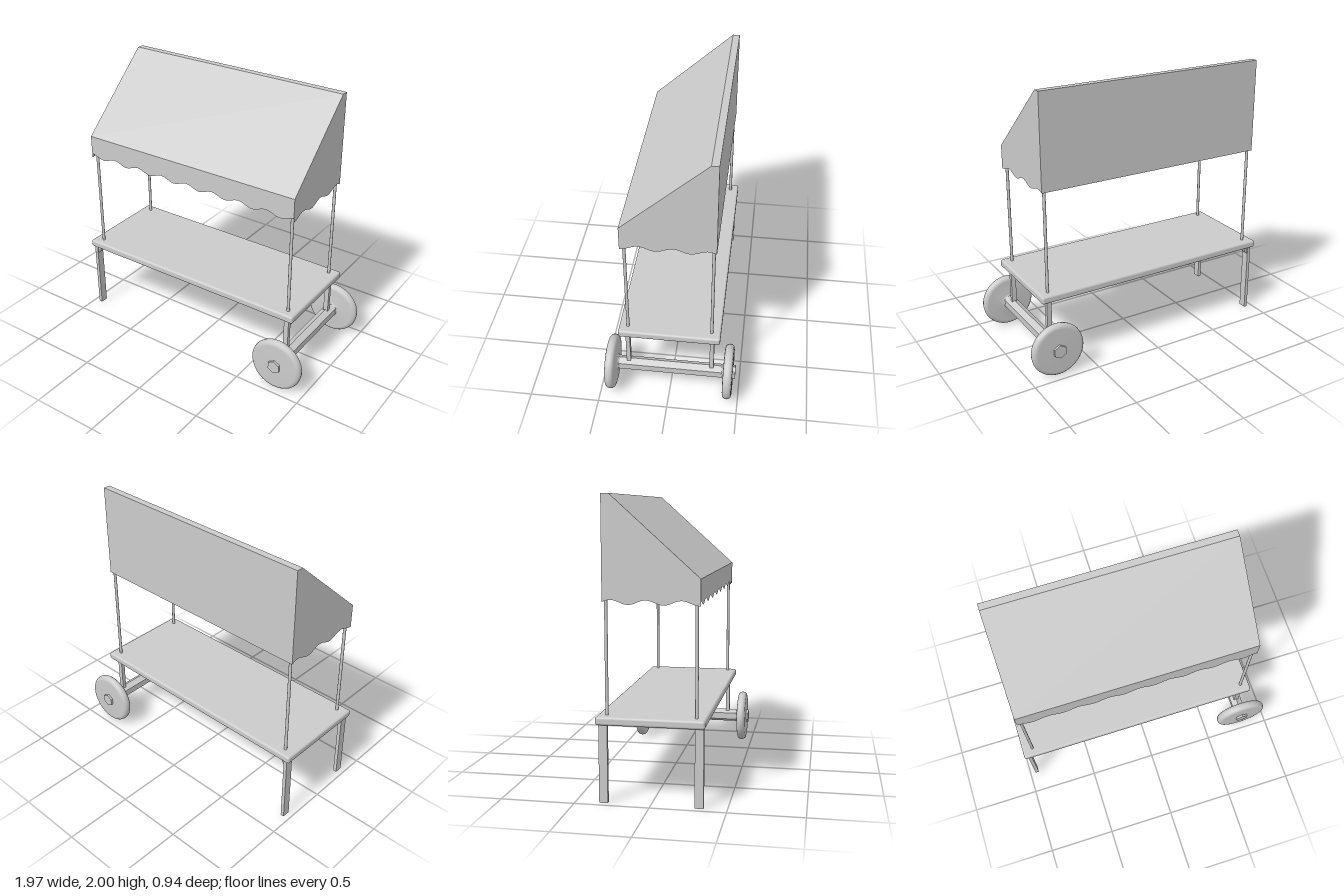
import * as THREE from 'three';
import { RoundedBoxGeometry } from 'three/addons/geometries/RoundedBoxGeometry.js';

const X0 = -0.935, X1 = 0.81; // canopy ends
const ZF = 0.322, ZB = -0.315, ZRIDGE = -0.265; // canopy front, back, ridge
const EAVE = 1.472, TOP = 2, HEM = 1.317;
const AXLE_X = 0.785, AXLE_Y = 0.198;

const solid = new THREE.MeshStandardMaterial({ color: 0xcccccc });
const faceted = new THREE.MeshStandardMaterial({ color: 0xcccccc, flatShading: true });
const cloth = new THREE.MeshStandardMaterial({ color: 0xcccccc, side: THREE.DoubleSide });

function add(parent, name, geometry, material, x = 0, y = 0, z = 0) {
  const mesh = new THREE.Mesh(geometry, material);
  mesh.name = name;
  mesh.position.set(x, y, z);
  parent.add(mesh);
  return mesh;
}

// Flat cloth panel: wavy hem from a to b, then the given upper outline back from b to a
function wavyPanel(a, b, low, period, upper) {
  const steps = 64, points = [];
  for (let i = 0; i <= steps; i++) {
    const u = a + (b - a) * i / steps;
    points.push(new THREE.Vector2(u, HEM - 0.015 * Math.cos(2 * Math.PI * (u - low) / period)));
  }
  upper.forEach(([u, v]) => points.push(new THREE.Vector2(u, v)));
  return new THREE.ShapeGeometry(new THREE.Shape(points));
}

function createCanopy() {
  const canopy = new THREE.Group();
  canopy.name = 'canopy';
  const width = X1 - X0, cx = (X0 + X1) / 2;

  add(canopy, 'frontValance', wavyPanel(X0, X1, 0.05, 0.2185, [[X1, EAVE], [X0, EAVE]]), cloth, 0, 0, ZF);

  const outline = [[ZF, EAVE], [ZRIDGE, TOP], [ZB, TOP]];
  for (const [name, x] of [['rightCanopySide', X0], ['leftCanopySide', X1]]) {
    const side = wavyPanel(ZB, ZF, 0.085, 0.23, outline);
    side.rotateY(-Math.PI / 2);
    add(canopy, name, side, cloth, x);
  }

  // Sloping roof, narrow ridge and straight back curtain
  const strips = [
    ['roofSlope', [ZF, EAVE], [ZRIDGE, TOP]],
    ['roofRidge', [ZRIDGE, TOP], [ZB, TOP]],
    ['backCurtain', [ZB, TOP], [ZB, HEM]],
  ];
  for (const [name, [z0, y0], [z1, y1]] of strips) {
    const strip = new THREE.PlaneGeometry(width, Math.hypot(z1 - z0, y1 - y0));
    strip.rotateX(Math.atan2(z1 - z0, y1 - y0));
    add(canopy, name, strip, cloth, cx, (y0 + y1) / 2, (z0 + z1) / 2);
  }
  return canopy;
}

function createWheel(side) {
  const wheel = new THREE.Group();
  wheel.name = side > 0 ? 'frontWheel' : 'backWheel';
  // Radius and distance along the axle, with a flared hub on the inner face
  const profile = [
    [0.04, 0.358], [0.046, 0.375], [0.06, 0.387], [0.165, 0.389], [0.183, 0.393],
    [0.194, 0.405], [0.198, 0.422], [0.194, 0.439], [0.183, 0.451], [0.165, 0.455], [0, 0.456],
  ].map(([r, d]) => new THREE.Vector2(r, d));
  const geometry = new THREE.LatheGeometry(profile, 48);
  geometry.rotateX(side * Math.PI / 2);
  add(wheel, 'wheelDisc', geometry, solid);
  wheel.position.set(AXLE_X, AXLE_Y, 0);
  return wheel;
}

export function createModel() {
  const cart = new THREE.Group();
  cart.name = 'marketCart';

  add(cart, 'tableTop', new RoundedBoxGeometry(1.838, 0.056, 0.716, 3, 0.016), solid, -0.066, 0.552, 0);
  cart.add(createCanopy());

  // Canopy poles, ending just beneath the roof
  for (const x of [-0.907, 0.785]) {
    for (const [z, top] of [[0.295, 1.485], [-0.295, 1.99]]) {
      const height = top - 0.57;
      add(cart, 'canopyPole', new THREE.CylinderGeometry(0.011, 0.011, height, 12), solid, x, 0.57 + height / 2, z);
    }
  }

  // Legs with a small chamfered bracket under the table
  const bracket = new THREE.Shape([[0, 0.47], [0.012, 0.48], [0.025, 0.505], [0.025, 0.53], [0, 0.53]]
    .map(([x, y]) => new THREE.Vector2(x, y)));
  for (const z of [0.319, -0.312]) {
    add(cart, 'leg', new THREE.BoxGeometry(0.026, 0.53, 0.058), solid, -0.945, 0.265, z);
    const geometry = new THREE.ExtrudeGeometry(bracket, { depth: 0.04, bevelEnabled: false });
    add(cart, 'legBracket', geometry, solid, -0.932, 0, z - 0.02);
  }

  // Hexagonal axle through both wheels, hung from two struts
  const axle = new THREE.CylinderGeometry(0.05, 0.05, 0.945, 6);
  axle.rotateX(Math.PI / 2);
  add(cart, 'axle', axle, faceted, AXLE_X, AXLE_Y, 0);
  for (const side of [1, -1]) {
    add(cart, 'axleStrut', new THREE.BoxGeometry(0.036, 0.32, 0.03), solid, AXLE_X, 0.37, side * 0.3);
    cart.add(createWheel(side));
  }
  return cart;
}
